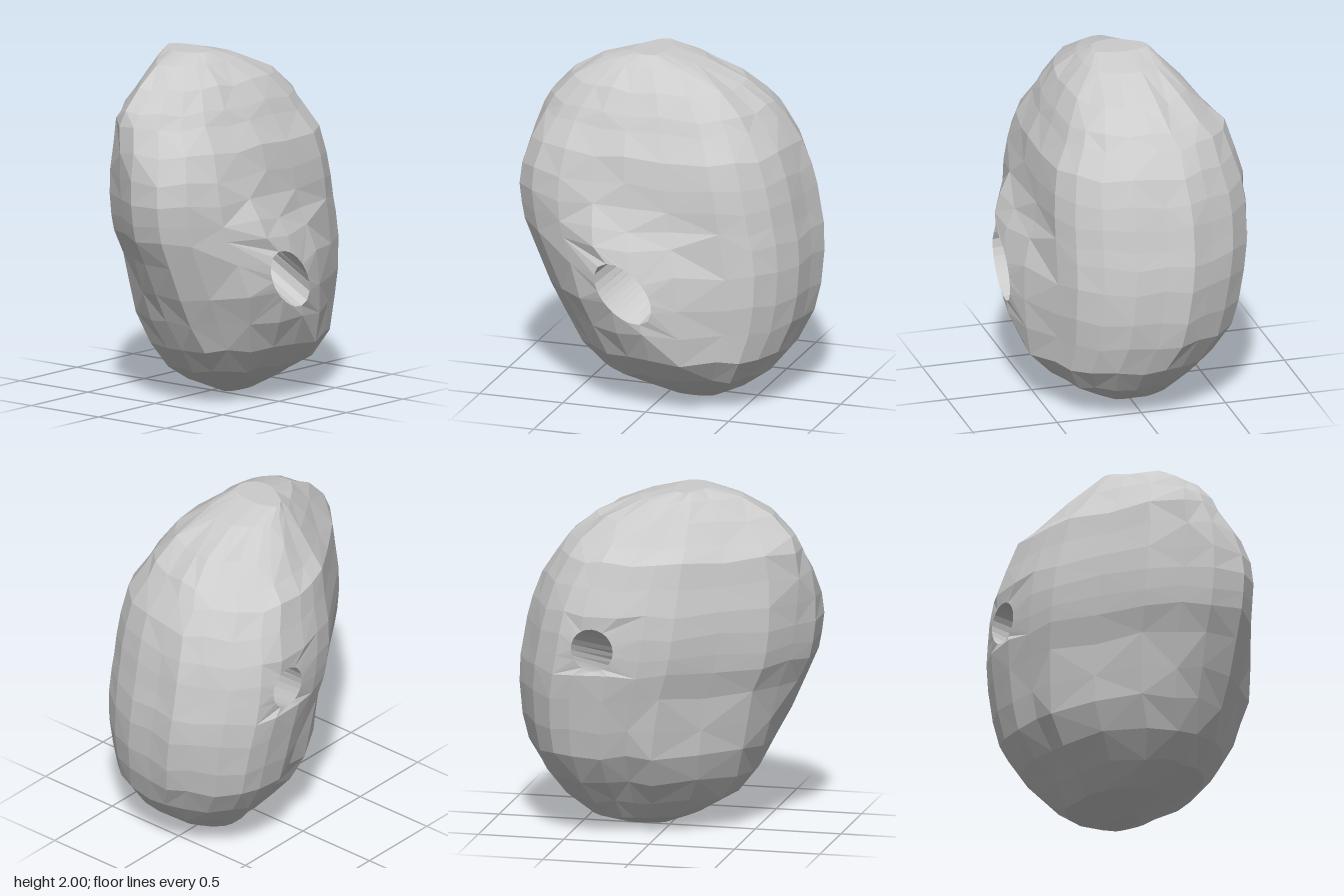
import * as THREE from 'three';

// Horizontal outline of the stone in a -1..1 box, counter-clockwise from above
const OUTLINE = [
  [-1, .29], [-1, .62], [-.86, .84], [-.62, .97], [-.35, 1], [-.1, 1], [.2, 1], [.55, .95],
  [.74, .82], [.87, .6], [.95, .3], [.98, 0], [1, -.26], [.93, -.47], [.82, -.72], [.66, -.93],
  [.5, -1], [.25, -1], [.05, -.93], [-.15, -.84], [-.45, -.55], [-.75, -.26], [-.9, .04],
];

// Extents of each level: y, x min, x max, z back, z front
const LEVELS = [
  [0, .02, .28, 0, .12], [.08, -.18, .46, -.23, .27], [.19, -.38, .61, -.33, .45],
  [.33, -.5, .72, -.45, .54], [.5, -.59, .79, -.56, .53], [.66, -.66, .82, -.6, .53],
  [.85, -.73, .83, -.635, .52], [1, -.8, .82, -.66, .52], [1.1, -.82, .8, -.665, .52],
  [1.22, -.835, .78, -.665, .52], [1.35, -.835, .75, -.65, .51], [1.5, -.82, .7, -.605, .485],
  [1.64, -.78, .61, -.565, .41], [1.72, -.74, .55, -.48, .375], [1.84, -.62, .4, -.38, .3],
  [1.95, -.44, .16, -.27, .17], [2, -.25, -.05, -.22, .1],
];

const N = OUTLINE.length;
const RIM = 24;

// Openings: first column and row of the 3 x 3 patch they replace
const HOLES = [
  { col: 3, row: 4, x: -.085, y: .745, z: .655, side: 1, a: .21, b: .125 },
  { col: 15, row: 7, x: .3, y: 1.15, z: -.645, side: -1, a: .125, b: .12 },
];

function surfacePoint(row, col) {
  const [y, x0, x1, z0, z1] = LEVELS[row];
  // the outline is rounder near the base, and at the front right near the crown
  const [ou, ov] = OUTLINE[col];
  let round = 0;
  if (ou < 0 || ov > 0) round = .65 * THREE.MathUtils.clamp((.8 - y) / .5, 0, 1);
  if (ou < 0 && ov > 0) round += .75 * THREE.MathUtils.clamp((y - 1.3) / .4, 0, 1);
  const f = 1 - round + round / Math.hypot(ou, ov);
  const u = ou * f, v = ov * f;
  // small regular unevenness for the facets
  const k = row > 1 && row < LEVELS.length - 2 ? 1 : 0;
  const s = 1 - k * .006 * (1 + Math.sin(row * 12.9 + col * 78.2));
  const x = (x0 + x1) / 2 + u * s * (x1 - x0) / 2;
  let z = (z0 + z1) / 2 + v * s * (z1 - z0) / 2;
  // blunt swelling around the front opening, its upper edge slanting down to the left
  const rise = y - .75 + .35 * (x + .08);
  if (v > 0) z += .145 * Math.exp(-(((x + .08) / .36) ** 4) - (rise / .35) ** 4);
  return new THREE.Vector3(x, y + k * .012 * Math.sin(row * 5.3 + col * 2.4), z);
}

// Rim of an opening, counter-clockwise as seen from outside
function rimPoints(h) {
  return Array.from({ length: RIM }, (_, k) => {
    const t = Math.PI * 1.25 + k * 2 * Math.PI / RIM;
    const p = t - Math.PI * .75;
    const r = h.a * h.b / Math.hypot(h.b * Math.cos(p), h.a * Math.sin(p));
    return new THREE.Vector3(h.x + h.side * r * Math.cos(t), h.y + r * Math.sin(t), h.z);
  });
}

function facetMesh(name, triangles) {
  const geometry = new THREE.BufferGeometry().setFromPoints(triangles);
  geometry.computeVertexNormals();
  const material = new THREE.MeshStandardMaterial({
    color: 0xcccccc, flatShading: true, side: THREE.DoubleSide,
  });
  const mesh = new THREE.Mesh(geometry, material);
  mesh.name = name;
  return mesh;
}

export function createModel() {
  const group = new THREE.Group();
  group.name = 'piercedStone';
  const grid = LEVELS.map((_, r) => OUTLINE.map((_, c) => surfacePoint(r, c)));
  const at = (r, c) => grid[r][c % N];
  const inHole = (r, c) => HOLES.some(h => r >= h.row && r < h.row + 3 && c >= h.col && c < h.col + 3);
  const shell = [];

  // Faceted skin, leaving out the patches around the openings
  for (let r = 0; r < LEVELS.length - 1; r++) {
    for (let c = 0; c < N; c++) {
      if (inHole(r, c)) continue;
      const p = at(r, c), q = at(r, c + 1), s = at(r + 1, c + 1), t = at(r + 1, c);
      if ((r + c) % 2) shell.push(p, q, s, p, s, t);
      else shell.push(p, q, t, q, s, t);
    }
  }

  // Flat crown and base
  const top = LEVELS.length - 1;
  const crown = new THREE.Vector3(-.15, 2, -.06);
  const base = new THREE.Vector3(.15, 0, .06);
  for (let c = 0; c < N; c++) {
    shell.push(crown, at(top, c), at(top, c + 1));
    shell.push(base, at(0, c + 1), at(0, c));
  }

  // Skin stitched from each patch border to its round rim
  const rims = HOLES.map(h => {
    const border = [];
    for (let i = 0; i < 3; i++) border.push(at(h.row, h.col + i));
    for (let i = 0; i < 3; i++) border.push(at(h.row + i, h.col + 3));
    for (let i = 0; i < 3; i++) border.push(at(h.row + 3, h.col + 3 - i));
    for (let i = 0; i < 3; i++) border.push(at(h.row + 3 - i, h.col));
    const rim = rimPoints(h);
    border.forEach((p, i) => {
      const q = border[(i + 1) % 12];
      const r0 = rim[2 * i], r1 = rim[2 * i + 1], r2 = rim[(2 * i + 2) % RIM];
      shell.push(p, r1, r0, p, q, r1, q, r2, r1);
    });
    return rim;
  });
  group.add(facetMesh('stone', shell));

  // Bore running from the front opening to the back one
  const bore = [];
  const back = k => rims[1][(6 - k + 2 * RIM) % RIM];
  for (let k = 0; k < RIM; k++) {
    const p = rims[0][k], q = rims[0][(k + 1) % RIM];
    bore.push(p, q, back(k + 1), p, back(k + 1), back(k));
  }
  group.add(facetMesh('bore', bore));
  return group;
}
